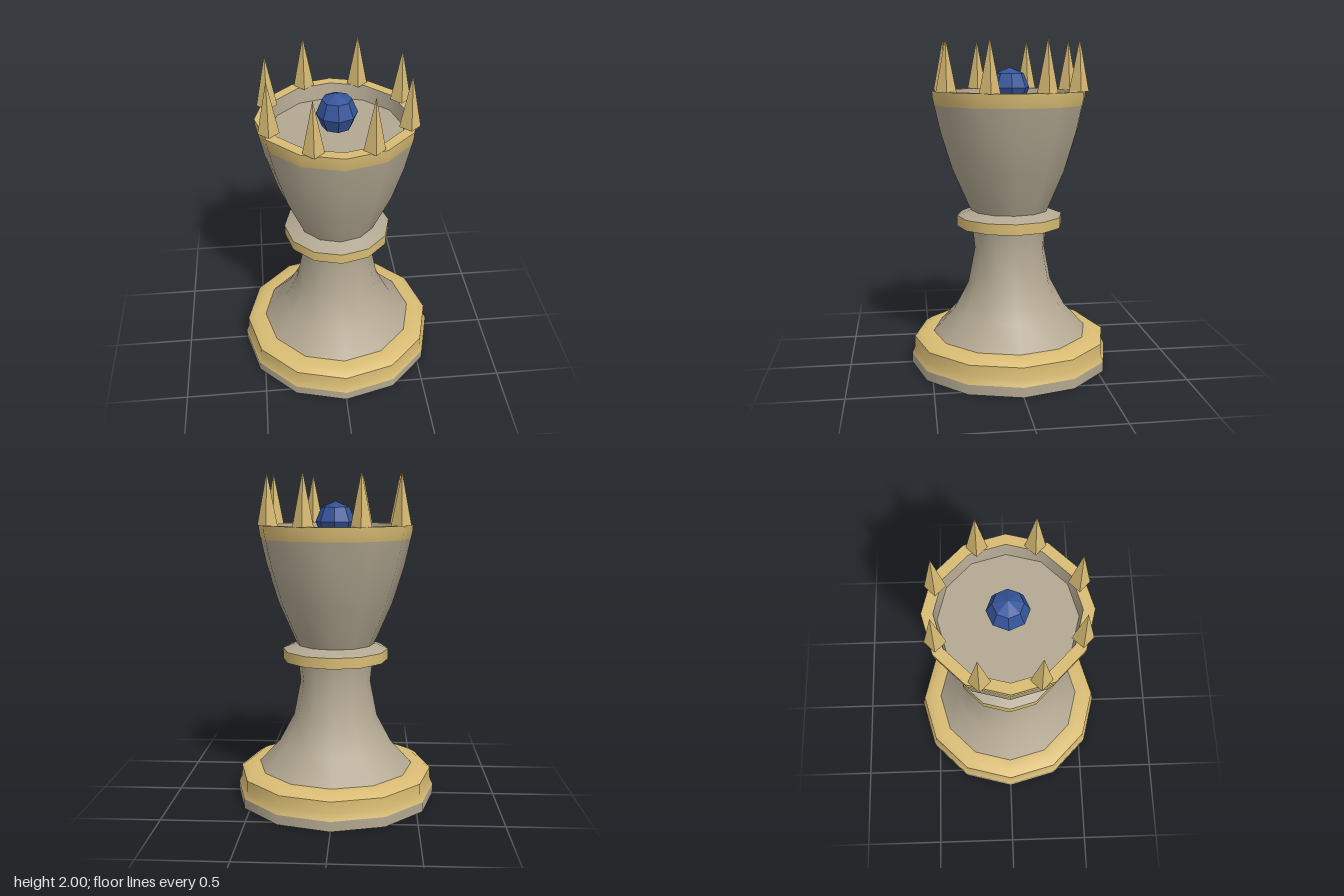
import * as THREE from 'three';

const mat = (name, color, flatShading = false) => {
  const m = new THREE.MeshStandardMaterial({ color, flatShading });
  m.name = name;
  return m;
};

export function createModel() {
  const stone = mat('stone', 0xb3a892);
  const gold = mat('gold', 0xd9bc74);
  const goldFlat = gold;
  const blue = mat('blue', 0x34549a);
  const group = new THREE.Group();

  const add = (name, geometry, material) => {
    const mesh = new THREE.Mesh(geometry, material);
    mesh.name = name;
    group.add(mesh);
    return mesh;
  };
  // Each turned section is smooth; section ends are the hard edges.
  const turn = (name, material, points) =>
    add(name, new THREE.LatheGeometry(points.map(p => new THREE.Vector2(...p)), 12), material);
  const faceted = (geometry) => {
    const g = geometry.toNonIndexed();
    g.computeVertexNormals();
    return g;
  };

  // Base
  turn('baseUnderside', stone, [[0, 0], [0.618, 0]]);
  turn('baseFoot', stone, [[0.618, 0], [0.618, 0.06]]);
  turn('baseBand', gold, [[0.618, 0.06], [0.6, 0.1], [0.598, 0.17]]);
  turn('baseTop', gold, [[0.598, 0.17], [0.55, 0.2], [0.47, 0.2]]);

  // Stem and collar
  turn('stem', stone, [[0.48, 0.2], [0.35, 0.34], [0.26, 0.51], [0.217, 0.73], [0.232, 0.87]]);
  turn('collarUnderside', gold, [[0.22, 0.87], [0.325, 0.87]]);
  turn('collarBand', gold, [[0.325, 0.87], [0.325, 0.935]]);
  turn('collarTop', stone, [[0.325, 0.935], [0.24, 0.968]]);

  // Cup with a recessed floor
  turn('cup', stone, [[0.24, 0.968], [0.35, 1.22], [0.42, 1.45], [0.455, 1.61]]);
  turn('rimBand', gold, [[0.455, 1.61], [0.464, 1.65], [0.467, 1.692]]);
  turn('rimTop', gold, [[0.467, 1.692], [0.402, 1.692]]);
  turn('cupInside', stone, [[0.402, 1.692], [0.387, 1.6]]);
  turn('cupFloor', stone, [[0.387, 1.6], [0, 1.6]]);

  // Ring of eight four-sided spikes
  const spike = faceted(new THREE.ConeGeometry(0.06, 0.31, 4));
  for (let i = 0; i < 8; i++) {
    const a = (i + 0.5) * Math.PI / 4;
    add('spike', spike, goldFlat).position.set(0.422 * Math.cos(a), 1.845, 0.422 * Math.sin(a));
  }

  // Faceted gem
  add('gem', faceted(new THREE.SphereGeometry(0.12, 8, 4)), blue).position.y = 1.71;

  return group;
}
